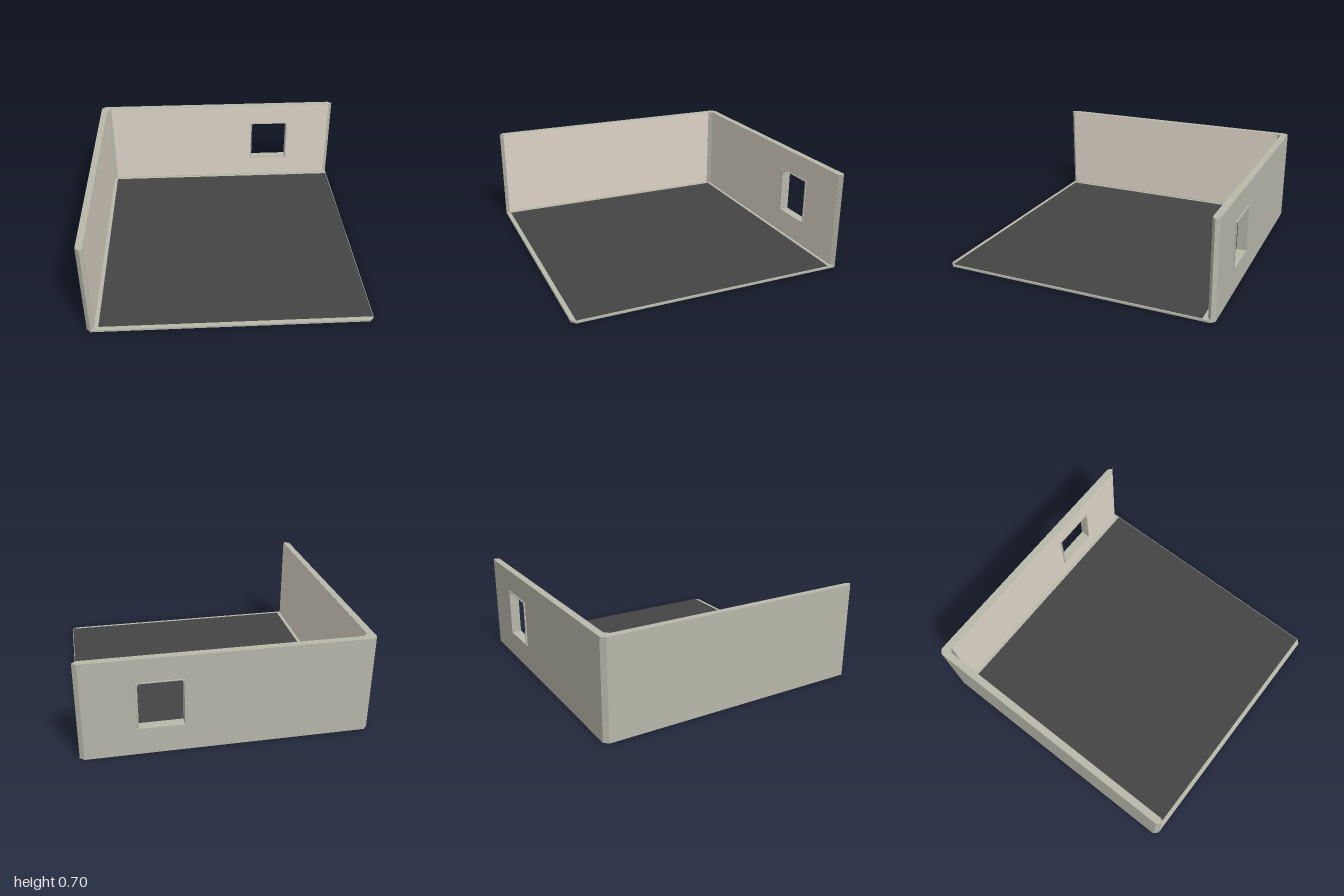
import * as THREE from 'three';

const material = (color, side = THREE.FrontSide) =>
  new THREE.MeshStandardMaterial({ color, side, flatShading: true });

// Prism standing on a floor-plan outline given as [x, z] corners
function planPrism(points, y0, y1) {
  const shape = new THREE.Shape(points.map(([x, z]) => new THREE.Vector2(x, -z)));
  const g = new THREE.ExtrudeGeometry(shape, { depth: y1 - y0, bevelEnabled: false });
  return g.rotateX(-Math.PI / 2).translate(0, y0, 0);
}

// Upright rectangle, optionally pierced by a rectangular hole
function rectangle(x0, x1, y0, y1, hole) {
  const corners = (a, b, c, d) => [[a, c], [b, c], [b, d], [a, d]].map((p) => new THREE.Vector2(...p));
  const shape = new THREE.Shape(corners(x0, x1, y0, y1));
  if (hole) shape.holes.push(new THREE.Path(corners(...hole)));
  return shape;
}

export function createModel() {
  const model = new THREE.Group();
  model.name = 'room';
  const trim = material(0xb8b7aa);
  const plaster = material(0xdcd3c6);
  const dark = material(0x444444);
  const add = (name, geometry, mat, parent = model) => {
    const mesh = new THREE.Mesh(geometry, mat);
    mesh.name = name;
    parent.add(mesh);
    return mesh;
  };

  const H = 0.7;
  const opening = [0.285, 0.605, 0.195, 0.535];

  // Floor slab with clipped corners, and its dark covering
  add('floorSlab', planPrism([
    [-0.96, 1], [0.955, 1], [0.985, 0.97], [0.985, -0.96],
    [0.955, -0.99], [-0.96, -0.99], [-0.99, -0.96], [-0.99, 0.97],
  ], 0, 0.015), trim);
  const covering = new THREE.PlaneGeometry(1.89, 1.88).rotateX(-Math.PI / 2);
  add('floorCovering', covering.translate(0.035, 0.018, 0.03), dark);

  // Side wall, including the clipped corner where it meets the back wall
  add('sideWall', planPrism([
    [-0.99, 0.97], [-0.96, 1], [-0.94, 0.975], [-0.94, -0.91], [-0.91, -0.94],
    [-0.9, -0.94], [-0.9, -0.99], [-0.96, -0.99], [-0.99, -0.96],
  ], 0, H), trim);

  // Back wall with the window opening, closed by a pointed end
  const backShape = rectangle(-0.9, 0.955, 0, H, opening);
  const back = new THREE.ExtrudeGeometry(backShape, { depth: 0.05, bevelEnabled: false });
  add('backWall', back.translate(0, 0, -0.99), trim);
  add('backWallEnd', planPrism([[0.955, -0.94], [0.985, -0.965], [0.955, -0.99]], 0, H), trim);

  // Plaster on the inner faces
  const backPlaster = new THREE.ShapeGeometry(rectangle(-0.91, 0.955, 0.02, H, opening));
  add('backPlaster', backPlaster.translate(0, 0, -0.938), plaster);
  const sidePlaster = new THREE.PlaneGeometry(1.885, H - 0.02).rotateY(Math.PI / 2);
  add('sidePlaster', sidePlaster.translate(-0.938, (H + 0.02) / 2, 0.0325), plaster);

  // Thin window frame standing proud of both wall faces
  const win = new THREE.Group();
  win.name = 'window';
  model.add(win);
  const frameShape = rectangle(...opening, [0.295, 0.595, 0.2, 0.53]);
  const frame = new THREE.ExtrudeGeometry(frameShape, { depth: 0.07, bevelEnabled: false });
  add('windowFrame', frame.translate(0, 0, -1), trim, win);

  // Small gussets in the upper corners of the frame
  for (const s of [-1, 1]) {
    const x = 0.445 + s * 0.15;
    const shape = new THREE.Shape([
      new THREE.Vector2(x, 0.53), new THREE.Vector2(x - s * 0.012, 0.53), new THREE.Vector2(x, 0.505),
    ]);
    const gusset = new THREE.ExtrudeGeometry(shape, { depth: 0.05, bevelEnabled: false });
    add('windowGusset', gusset.translate(0, 0, -0.99), trim, win);
  }
  return model;
}
